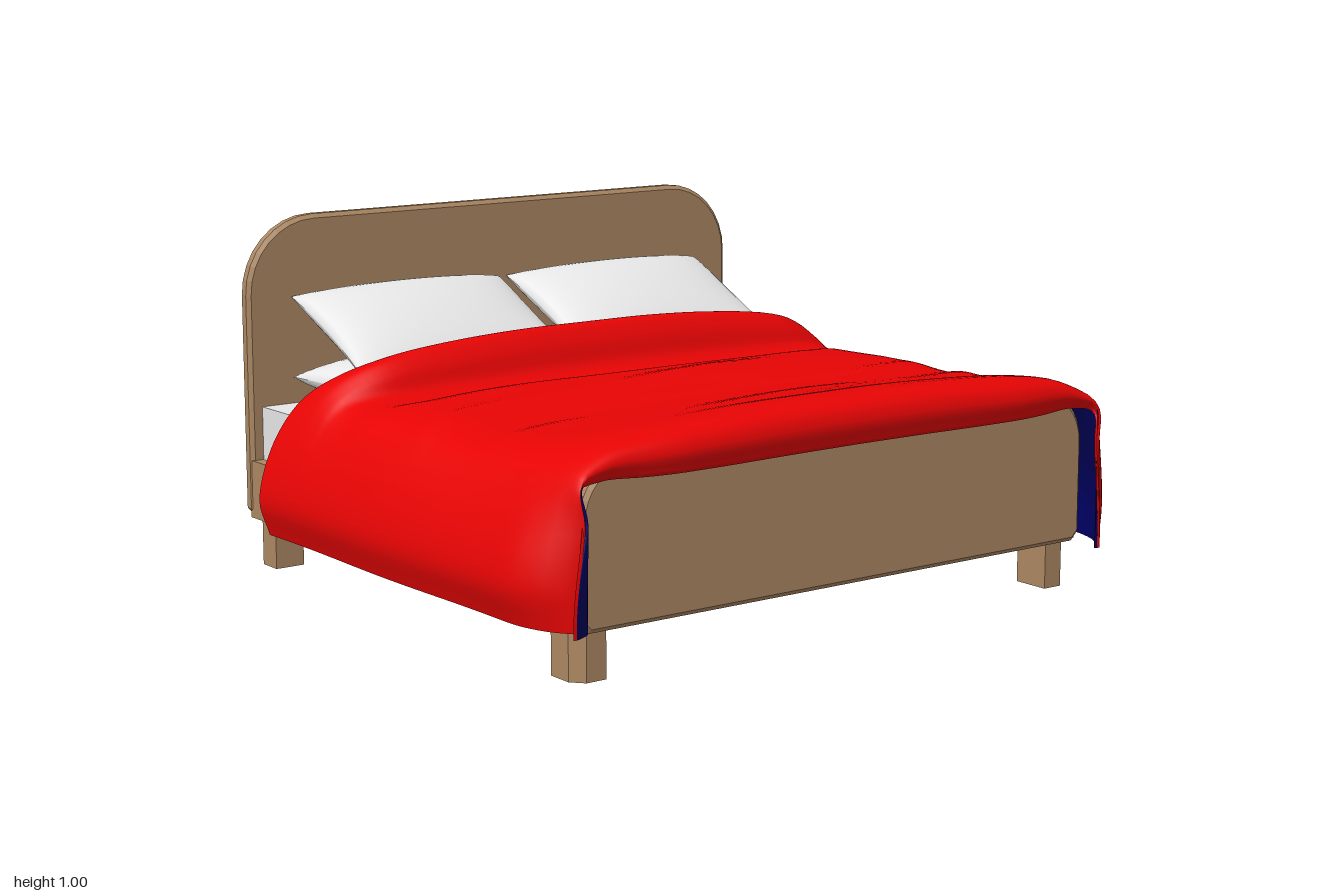
import * as THREE from 'three';

const mat = (name, color) => {
  const m = new THREE.MeshStandardMaterial({ color });
  m.name = name;
  return m;
};
const { smoothstep: smooth, lerp } = THREE.MathUtils;

export function createModel() {
  const wood = mat('wood', 0xac8863);
  const linen = mat('white linen', 0xf4f4f4);
  const red = mat('red blanket', 0xe80404);
  const navy = mat('navy lining', 0x00005c);

  const bed = new THREE.Group();
  bed.name = 'bed';
  const add = (name, geo, material, x = 0, y = 0, z = 0, parent = bed) => {
    const m = new THREE.Mesh(geo, material);
    m.name = name;
    m.position.set(x, y, z);
    parent.add(m);
    return m;
  };

  // Upright board with rounded top corners, small cut bottom corners and chamfered edges
  const board = (w, bottom, top, r, depth) => {
    const s = new THREE.Shape();
    s.moveTo(-w + 0.025, bottom);
    s.lineTo(w - 0.025, bottom);
    s.lineTo(w, bottom + 0.025);
    s.lineTo(w, top - r);
    s.absarc(w - r, top - r, r, 0, Math.PI / 2);
    s.absarc(-w + r, top - r, r, Math.PI / 2, Math.PI);
    s.lineTo(-w, bottom + 0.025);
    s.closePath();
    const geo = new THREE.ExtrudeGeometry(s, {
      depth: depth - 0.02, curveSegments: 4,
      bevelThickness: 0.01, bevelSize: 0.012, bevelOffset: -0.012, bevelSegments: 1,
    });
    return geo.translate(0, 0, 0.01);
  };
  add('headboard', board(0.862, 0.135, 1.0, 0.22, 0.042), wood, 0.006, 0, -0.88);
  add('footboard', board(0.85, 0.135, 0.565, 0.15, 0.045), wood, 0, 0, 0.742);

  // Base with side rails, and the mattress sitting in it
  add('bedBase', new THREE.BoxGeometry(1.66, 0.1, 1.61), wood, 0.003, 0.186, -0.05);
  for (const side of [-1, 1]) {
    add('sideRail', new THREE.BoxGeometry(0.035, 0.168, 1.61), wood, side * 0.838 + 0.003, 0.219, -0.05);
  }
  add('mattress', new THREE.BoxGeometry(1.64, 0.22, 1.58), linen, 0.003, 0.347, -0.05);

  // Legs: square posts with the outer corner cut off
  for (const sx of [-1, 1]) {
    for (const [z, sz] of [[0.69, 1], [-0.8, -1]]) {
      const pts = [[-0.045, -0.055], [0.045, -0.055], [0.045, 0.02], [0.015, 0.055], [-0.045, 0.055]]
        .map(([x, y]) => new THREE.Vector2(x * sx, -y * sz));
      const geo = new THREE.ExtrudeGeometry(new THREE.Shape(pts), { depth: 0.15, bevelEnabled: false });
      geo.rotateX(-Math.PI / 2);
      add('leg', geo, wood, sx * 0.798 + 0.007, 0, z);
    }
  }

  // Pillow half: a plane puffed up, fuller towards the headboard, sides drawn in between the corners
  const pillowHalf = (w, d, t) => {
    const geo = new THREE.PlaneGeometry(2, 2, 24, 20);
    const p = geo.attributes.position;
    for (let i = 0; i < p.count; i++) {
      const u = Math.sin(p.getX(i) * Math.PI / 2);
      const v = Math.sin(p.getY(i) * Math.PI / 2);
      const puff = Math.pow(Math.max(0, (1 - u * u) * (1 - v * v)), 0.45) * (1 + 0.22 * v);
      p.setXYZ(i, u * (w - 0.015 * (1 - v * v)), t * puff, -v * (d - 0.008 * (1 - u * u)));
    }
    geo.computeVertexNormals();
    return geo;
  };
  const half = pillowHalf(0.357, 0.215, 0.074);
  for (const x of [-0.362, 0.378]) {
    for (const [name, y, z, tilt] of [['lowerPillow', 0.535, -0.61, 0], ['upperPillow', 0.677, -0.635, 0.44]]) {
      const pillow = new THREE.Group();
      pillow.name = name;
      pillow.position.set(x, y, z);
      pillow.rotation.x = tilt;
      add('pillowTop', half, linen, 0, 0, 0, pillow);
      add('pillowBottom', half, linen, 0, 0, 0, pillow).rotation.z = Math.PI;
      bed.add(pillow);
    }
  }

  // Blanket height along the middle, from the front lip to the fold at the pillows: z, y
  const spine = new THREE.CatmullRomCurve3([
    [0.832, 0.525], [0.842, 0.575], [0.822, 0.615], [0.77, 0.635], [0.68, 0.63], [0.55, 0.605],
    [0.42, 0.582], [0.3, 0.57], [0.18, 0.576], [0.07, 0.586], [-0.05, 0.581], [-0.16, 0.572],
    [-0.24, 0.553], [-0.29, 0.575], [-0.32, 0.64], [-0.36, 0.684], [-0.405, 0.678],
    [-0.435, 0.64], [-0.442, 0.59],
  ].map(([z, y]) => new THREE.Vector3(0, y, z)));

  // Cross-section from the middle to the hem: x, y, how much it follows the spine
  const section = new THREE.CatmullRomCurve3([
    [0, 0.58, 1], [0.22, 0.579, 1], [0.44, 0.574, 0.95], [0.66, 0.566, 0.8], [0.8, 0.552, 0.5],
    [0.89, 0.505, 0.2], [0.955, 0.405, 0.05], [0.988, 0.31, 0], [0.997, 0.22, 0], [0.968, 0.122, 0],
  ].map((a) => new THREE.Vector3(...a)));

  // Soft wrinkles: x, z, height
  const wrinkles = [[-0.3, -0.14, 0.008], [0.08, -0.03, 0.01], [0.45, -0.2, 0.007], [-0.4, 0.36, 0.01],
    [0.38, 0.2, 0.011], [0.05, 0.42, 0.008], [-0.2, 0.22, 0.008], [0.5, 0.38, 0.008], [-0.5, 0.08, 0.008]];

  const rows = 100, cols = 80, thick = 0.01;
  const outer = [], inner = [], index = [];
  const at = (i, j) => i * (cols + 1) + j;
  for (let i = 0; i <= rows; i++) {
    const v = i / rows;
    const mid = spine.getPoint(v);
    const front = 1 - smooth(v, 0.04, 0.25);
    const lip = 1 - smooth(v, 0, 0.07);
    const back = smooth(v, 0.55, 1);
    for (let j = 0; j <= cols; j++) {
      const s = (j / cols) * 2 - 1;
      const left = s < 0, side = left ? -1 : 1;
      const c = section.getPoint(Math.abs(s));
      const flap = smooth(c.x, 0.82, 0.95);
      const low = 1 - smooth(c.y, 0.15, 0.5);
      let { x } = c;
      let y = c.y + c.z * (mid.y - 0.58);
      let z = mid.z;
      // the flap widens at the pillow end, is pinched in at the footboard, then flares at its edge
      z -= 0.1 * back * smooth(c.x, 0.68, 0.97);
      z -= 0.025 * front * smooth(c.x, 0.55, 0.8) * (1 - flap);
      x = lerp(x, left ? 0.875 : 0.858, flap * front);
      x += (left ? 0.06 : 0.012) * low * lip;
      z += (left ? 0.042 : 0.012) * low * lip;
      if (left) y += 0.035 * (1 - smooth(c.y, 0.12, 0.4));
      x += 0.004 * flap * (1 - front) * Math.sin(7 * z + 1);
      for (const [wx, wz, h] of wrinkles) {
        const dx = s * 1.2 - wx, dz = z - wz + 0.25 * dx;
        y += h * (1 - flap) * Math.exp(-((dx / 0.17) ** 2) - (dz / 0.05) ** 2);
      }
      outer.push(side * x, y, z);
      // the lining lies just inside
      const inZ = smooth(v, 0.85, 1) - (1 - smooth(v, 0, 0.12)) * (1 - flap);
      inner.push(side * (x - thick * flap), y - thick * (1 - flap), z + thick * inZ);
      if (i < rows && j < cols) {
        index.push(at(i, j), at(i, j + 1), at(i + 1, j), at(i, j + 1), at(i + 1, j + 1), at(i + 1, j));
      }
    }
  }
  const cloth = (points, faces) => {
    const geo = new THREE.BufferGeometry();
    geo.setAttribute('position', new THREE.Float32BufferAttribute(points, 3));
    geo.setIndex(faces);
    geo.computeVertexNormals();
    return geo;
  };
  add('blanket', cloth(outer, index), red);
  add('blanketLining', cloth(inner, index.slice().reverse()), navy);

  // Hem that joins the two sheets all the way round
  const loop = [];
  for (let j = 0; j < cols; j++) loop.push(at(0, j));
  for (let i = 0; i < rows; i++) loop.push(at(i, cols));
  for (let j = cols; j > 0; j--) loop.push(at(rows, j));
  for (let i = rows; i > 0; i--) loop.push(at(i, 0));
  const hem = [], hemFaces = [];
  loop.forEach((k, n) => {
    hem.push(...outer.slice(k * 3, k * 3 + 3), ...inner.slice(k * 3, k * 3 + 3));
    const a = n * 2, b = ((n + 1) % loop.length) * 2;
    hemFaces.push(a + 1, b + 1, b, a + 1, b, a);
  });
  add('blanketHem', cloth(hem, hemFaces), red);

  return bed;
}
